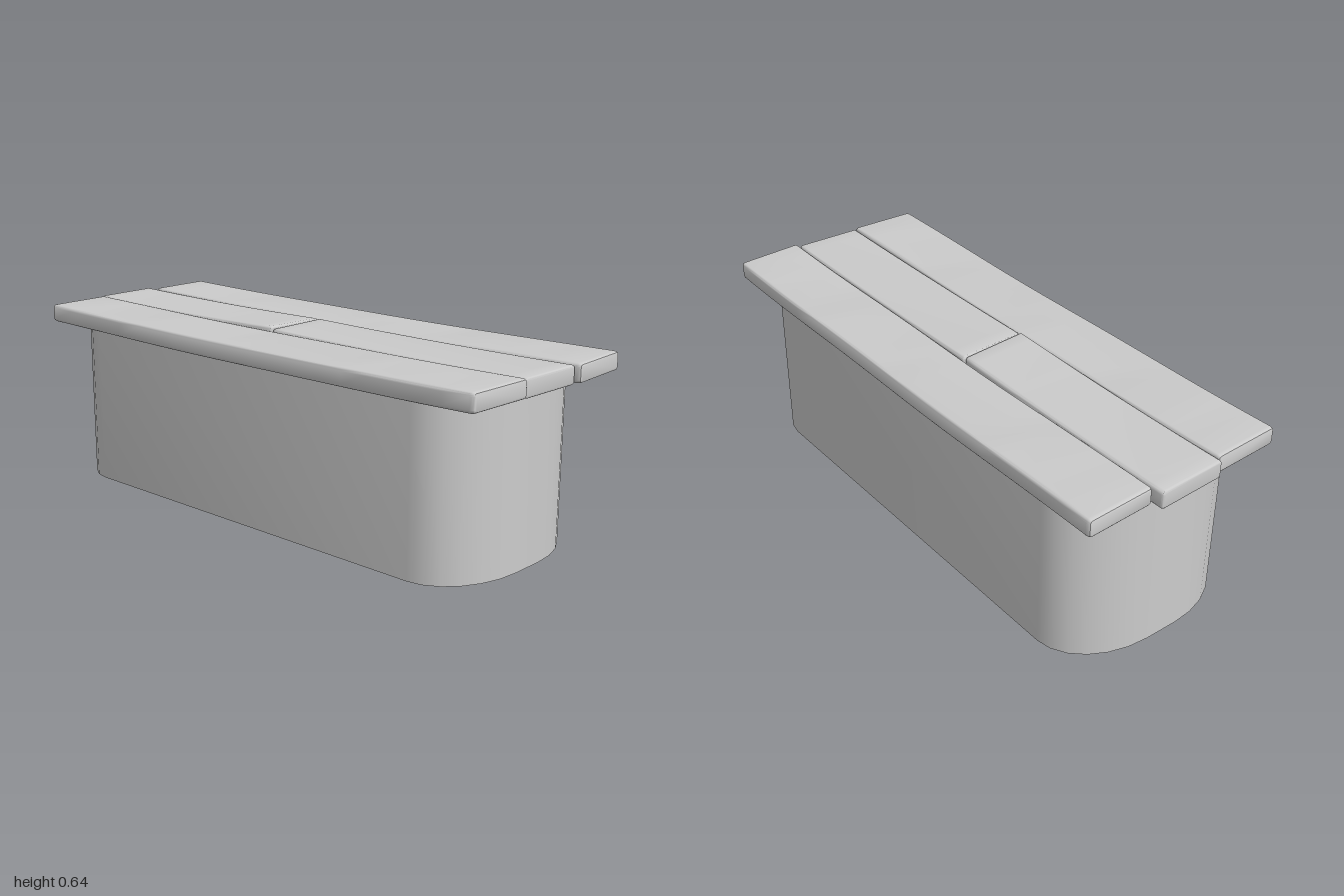
import * as THREE from 'three';
import { toCreasedNormals } from 'three/addons/utils/BufferGeometryUtils.js';

const material = new THREE.MeshStandardMaterial({ color: 0xcccccc });
const { lerp } = THREE.MathUtils;

// Outline with elliptical corners of radii rx, ry
function roundedOutline(w, h, rx, ry, steps) {
  const points = [];
  [[1, 1], [-1, 1], [-1, -1], [1, -1]].forEach(([sx, sy], corner) => {
    for (let i = 0; i <= steps; i++) {
      const a = (corner + i / steps) * Math.PI / 2;
      points.push(new THREE.Vector2(
        sx * (w / 2 - rx) + rx * Math.cos(a),
        sy * (h / 2 - ry) + ry * Math.sin(a)));
    }
  });
  return new THREE.Shape(points);
}

// Solid pedestal: a tall block with broadly rounded ends
function makeBase() {
  const height = 0.575;
  const geometry = new THREE.ExtrudeGeometry(
    roundedOutline(0.68, 1.855, 0.28, 0.2, 6),
    { depth: height, bevelEnabled: false });
  geometry.rotateX(-Math.PI / 2);
  const mesh = new THREE.Mesh(toCreasedNormals(geometry, 0.6), material);
  mesh.name = 'base';
  mesh.position.set(0.002, 0, -0.007);
  return mesh;
}

// Worn plank: soft edges, slanted ends, sagging middle.
// back and front hold the z of the end at the [-x, +x] side.
function makePlank({ name, x0, x1, back, front, y, sag, lift = 0, wave = 0 }) {
  const width = x1 - x0, thickness = 0.063, bevel = 0.008;
  const geometry = new THREE.ExtrudeGeometry(
    roundedOutline(width, thickness, 0.012, 0.012, 4),
    { depth: 1 - 2 * bevel, steps: 20, bevelEnabled: true, bevelThickness: bevel,
      bevelSize: bevel, bevelOffset: -bevel, bevelSegments: 3 });
  geometry.translate(0, 0, bevel);
  const p = geometry.attributes.position;
  for (let i = 0; i < p.count; i++) {
    const px = p.getX(i), t = p.getZ(i);
    const u = px / width + 0.5;
    const s = 4 * t * (1 - t);
    const z = lerp(lerp(back[0], back[1], u), lerp(front[0], front[1], u), t);
    p.setXYZ(i,
      (x0 + x1) / 2 + px + wave * Math.sin(t * Math.PI * 4),
      y + p.getY(i) - sag * s + lift * (1 - u) * t * t,
      z);
  }
  const mesh = new THREE.Mesh(toCreasedNormals(geometry, 0.6), material);
  mesh.name = name;
  return mesh;
}

export function createModel() {
  const group = new THREE.Group();
  group.name = 'plankBench';
  group.add(makeBase());

  // Two long outer planks and a split middle one
  const planks = [
    { name: 'rightPlank', x0: -0.374, x1: -0.127, back: [-0.965, -0.975], front: [0.972, 0.98], y: 0.602, sag: 0.009, wave: 0.002 },
    { name: 'middleBackPlank', x0: -0.125, x1: 0.122, back: [-0.99, -1.0], front: [-0.062, -0.072], y: 0.6, sag: 0.005, lift: 0.006 },
    { name: 'middleFrontPlank', x0: -0.124, x1: 0.125, back: [-0.058, -0.068], front: [0.972, 0.978], y: 0.599, sag: 0.004 },
    { name: 'leftPlank', x0: 0.128, x1: 0.373, back: [-0.965, -0.975], front: [0.995, 0.98], y: 0.602, sag: 0.009, wave: -0.002 },
  ];
  for (const plank of planks) group.add(makePlank(plank));
  return group;
}
